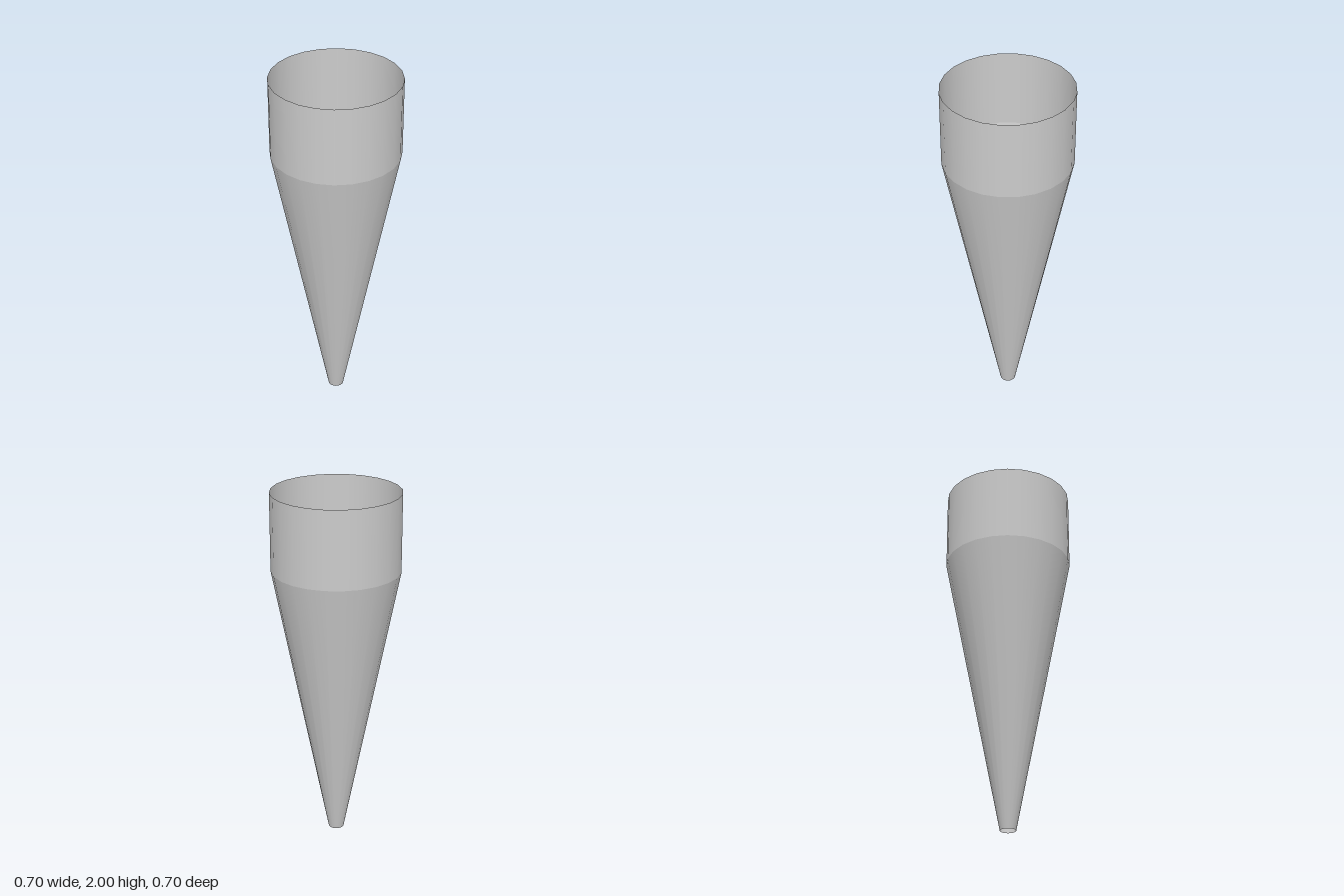
import * as THREE from 'three';

const SIDES = 24;
const RIM_RADIUS = 0.352;
const TIP_RADIUS = 0.043;
const SHOULDER = 1.57; // height where the cone meets the collar
const HEIGHT = 2;

export function createModel() {
  const group = new THREE.Group();
  group.name = 'funnel';
  const material = new THREE.MeshStandardMaterial({ color: 0xcccccc, side: THREE.DoubleSide });

  // Open-ended thin wall between two heights
  const addWall = (name, bottomRadius, topRadius, y0, y1) => {
    const geometry = new THREE.CylinderGeometry(topRadius, bottomRadius, y1 - y0, SIDES, 1, true);
    const mesh = new THREE.Mesh(geometry, material);
    mesh.name = name;
    mesh.position.y = (y0 + y1) / 2;
    group.add(mesh);
  };

  // Tapered cone with an open tip, and the straight collar above it
  addWall('cone', TIP_RADIUS, RIM_RADIUS, 0, SHOULDER);
  addWall('collar', RIM_RADIUS, RIM_RADIUS, SHOULDER, HEIGHT);

  return group;
}
